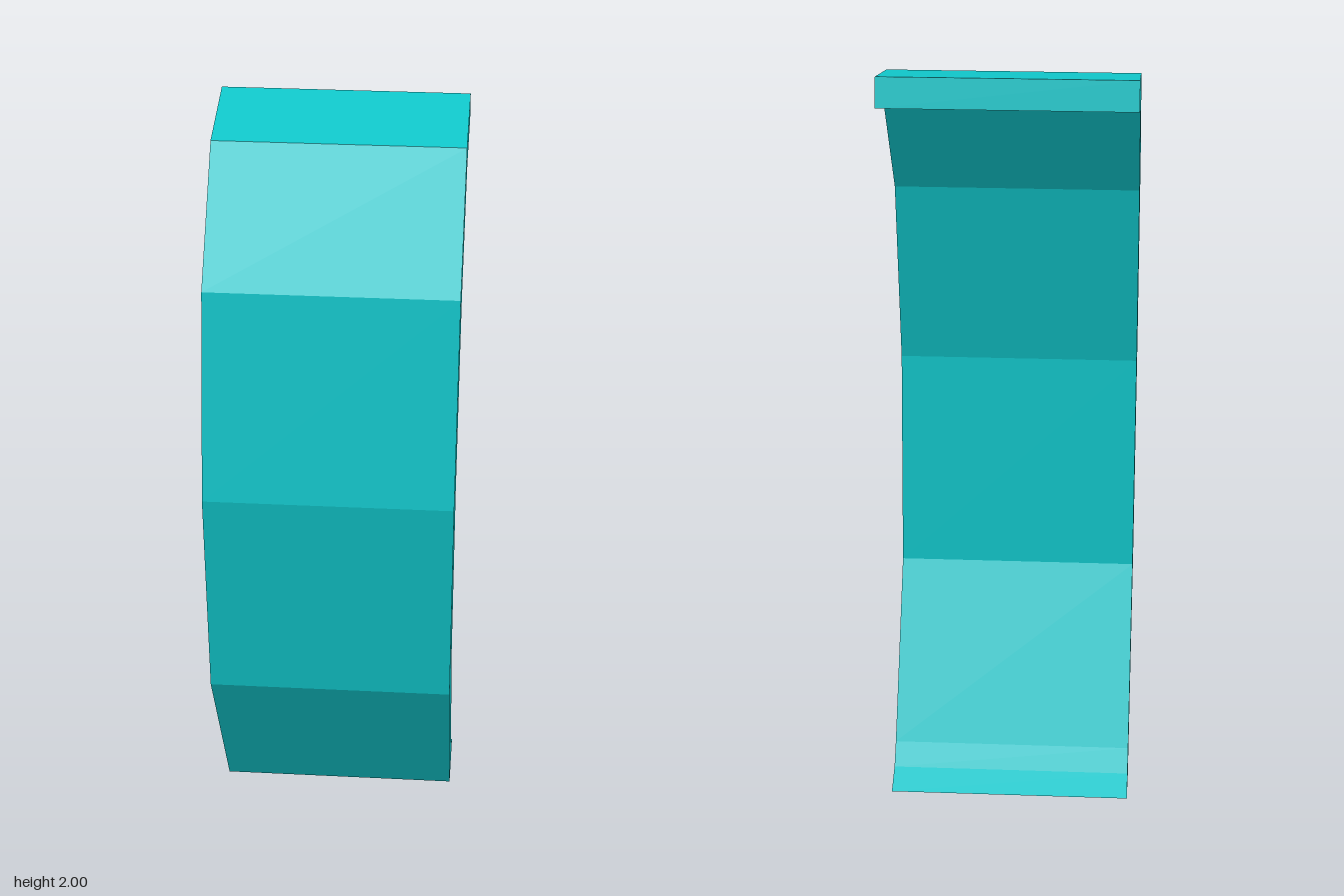
import * as THREE from 'three';

const WIDTH = 0.632;

// Side outline as [z, y], counter-clockwise from the bottom front edge
const OUTLINE = [
  // inner (back) face, going up
  [-0.082, 0], [-0.252, 0.026], [-0.178, 0.06], [-0.135, 0.114],
  [0.125, 0.542], [0.183, 1.115], [0.093, 1.615], [-0.114, 1.882], [-0.313, 1.927],
  // outer (front) face, going down
  [-0.294, 2], [-0.043, 1.956], [0.208, 1.663], [0.313, 1.133], [0.255, 0.537],
];

export function createModel() {
  const group = new THREE.Group();
  group.name = 'curvedPanel';

  // Faceted bowed strip: the side outline swept across the width
  const shape = new THREE.Shape(OUTLINE.map(([z, y]) => new THREE.Vector2(z, y)));
  const geometry = new THREE.ExtrudeGeometry(shape, { depth: WIDTH, bevelEnabled: false });
  geometry.translate(0, 0, -WIDTH / 2);
  geometry.rotateY(-Math.PI / 2);

  const material = new THREE.MeshStandardMaterial({ color: 0x10c8cc, flatShading: true });
  const strip = new THREE.Mesh(geometry, material);
  strip.name = 'bowedStrip';
  group.add(strip);
  return group;
}
